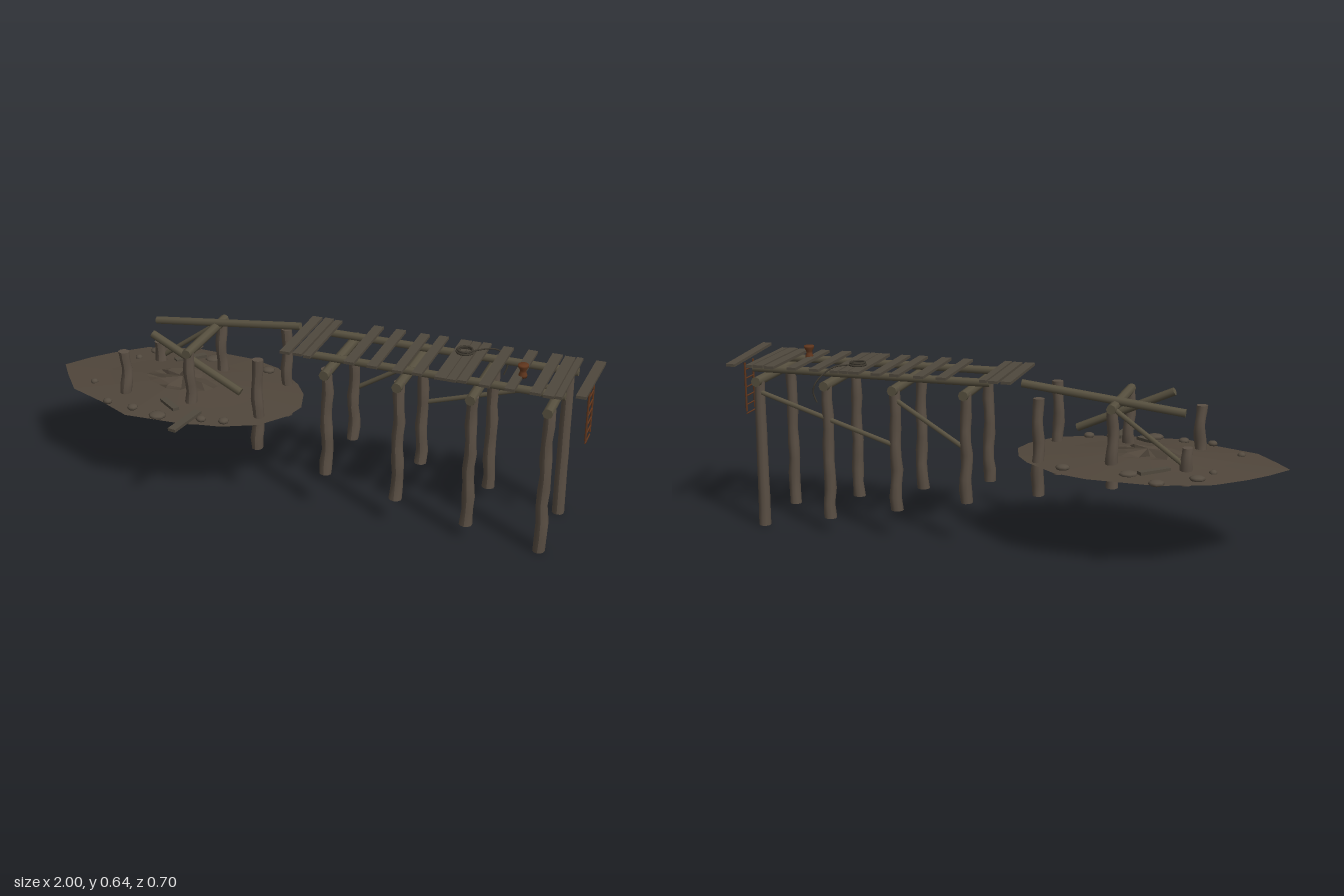
import * as THREE from 'three';

const mat = (name, color) => {
  const m = new THREE.MeshStandardMaterial({ color });
  m.name = name;
  return m;
};

export function createModel() {
  const model = new THREE.Group();
  model.name = 'ruinedPier';
  const timber = mat('timber', 0x5a4f44);
  const beamWood = mat('beamWood', 0x57503f);
  const plankWood = mat('plankWood', 0x4f483d);
  const mud = mat('mud', 0x50463b);
  mud.side = THREE.DoubleSide;
  const stone = mat('stone', 0x544b40);
  const rust = mat('rust', 0x60361d);
  const rope = mat('rope', 0x3d382f);

  const V = (x, y, z) => new THREE.Vector3(x, y, z);
  const add = (name, geo, material, x = 0, y = 0, z = 0) => {
    const m = new THREE.Mesh(geo, material);
    m.name = name;
    m.position.set(x, y, z);
    model.add(m);
    return m;
  };

  // Round timber between two points
  const log = (name, a, b, r, material = beamWood, sides = 8) => {
    const d = b.clone().sub(a);
    const mid = a.clone().add(b).multiplyScalar(0.5);
    const m = add(name, new THREE.CylinderGeometry(r, r, d.length(), sides), material, mid.x, mid.y, mid.z);
    m.quaternion.setFromUnitVectors(V(0, 1, 0), d.normalize());
    return m;
  };

  // Weathered upright post: rings are shifted and swollen by a wave rule
  const post = (x, z, y0, y1, wobble, seed) => {
    const g = new THREE.CylinderGeometry(0.019, 0.022, y1 - y0, 10, 9);
    const p = g.attributes.position;
    for (let i = 0; i < p.count; i++) {
      const y = p.getY(i);
      const a = Math.atan2(p.getZ(i), p.getX(i));
      const k = 1 + wobble * 0.1 * Math.sin(y * 47 + seed * 2.3 + Math.sin(a) * 2);
      p.setX(i, p.getX(i) * k + wobble * 0.003 * Math.sin(y * 31 + seed));
      p.setZ(i, p.getZ(i) * k + wobble * 0.003 * Math.cos(y * 37 + seed * 1.7));
    }
    g.computeVertexNormals();
    add('post', g, timber, x, (y0 + y1) / 2, z);
  };

  // Mud island: loops from the shore to a creased summit
  const shore = [
    [-1, -0.02], [-0.94, -0.11], [-0.88, -0.18], [-0.78, -0.27], [-0.6, -0.33], [-0.36, -0.32],
    [-0.24, -0.28], [-0.12, -0.18], [-0.07, -0.11], [-0.04, -0.01], [-0.06, 0.07], [-0.13, 0.17],
    [-0.25, 0.23], [-0.42, 0.26], [-0.6, 0.27], [-0.72, 0.21], [-0.87, 0.15], [-0.95, 0.05],
  ];
  const cx = -0.51, cz = -0.02, n = shore.length;
  const pts = [];
  for (let ring = 0; ring < 4; ring++) {
    shore.forEach(([x, z], i) => {
      const dx = x - cx, dz = z - cz, len = Math.hypot(dx, dz);
      const odd = i % 2;
      const r = [len, len * 0.62, len * 0.3, odd ? 0.05 : 0.085][ring];
      const y = [0.32, 0.331, 0.343, odd ? 0.335 : 0.353][ring];
      pts.push(cx + dx / len * r, y, cz + dz / len * r);
    });
  }
  pts.push(cx, 0.358, cz);
  const index = [];
  for (let r = 0; r < 3; r++) {
    for (let i = 0; i < n; i++) {
      const a = r * n + i, b = r * n + (i + 1) % n;
      index.push(a, a + n, b, b, a + n, b + n);
    }
  }
  for (let i = 0; i < n; i++) index.push(3 * n + i, 4 * n, 3 * n + (i + 1) % n);
  const land = new THREE.BufferGeometry();
  land.setAttribute('position', new THREE.Float32BufferAttribute(pts, 3));
  land.setIndex(index);
  const flatLand = land.toNonIndexed();
  flatLand.computeVertexNormals();
  add('mudIsland', flatLand, mud);

  // Stones: x, z, radius
  [[-0.72, -0.24, 0.028], [-0.6, -0.33, 0.028], [-0.49, -0.25, 0.03], [-0.26, -0.235, 0.026],
    [-0.76, -0.16, 0.014], [-0.82, 0.085, 0.013], [-0.7, 0.21, 0.018], [-0.595, 0.22, 0.02],
    [-0.485, 0.245, 0.029], [-0.33, 0.215, 0.02], [-0.25, 0.2, 0.02]].forEach(([x, z, r], i) => {
    const s = add('stone', new THREE.SphereGeometry(r, 8, 6), stone, x, 0.329, z);
    s.scale.set(1, Math.min(1, 0.011 / r), 0.9 + 0.1 * (i % 3));
    s.rotation.y = i;
  });

  // Posts, back row and front row; the deck end stands deepest
  [-0.67, -0.415, -0.155, 0.105, 0.365, 0.62, 0.88].forEach((x, i) => {
    const y0 = [0.28, 0.25, 0.2, 0.15, 0.1, 0.05, 0][i];
    const front = [0.49, 0.53, 0.545, 0.555, 0.55, 0.545, 0.54][i];
    const back = [0.41, 0.53, 0.545, 0.545, 0.55, 0.545, 0.54][i];
    post(x, 0.115, y0, front, 1, i + 1);
    post(x, -0.163, y0, back, i === 6 ? 0.15 : 0.8, i + 9);
  });

  // Cross beams on the posts
  [0.105, 0.365, 0.62, 0.88].forEach((x) => log('crossBeam', V(x, 0.542, 0.15), V(x, 0.542, -0.195), 0.018));
  log('crossBeam', V(-0.415, 0.53, 0.14), V(-0.415, 0.53, -0.195), 0.017);

  // Long joists, fallen beams and diagonal braces
  [0.072, -0.122].forEach((z) => log('joist', V(0.03, 0.577, z), V(0.92, 0.577, z), 0.0145));
  log('fallenJoist', V(-0.655, 0.517, -0.12), V(-0.085, 0.584, -0.12), 0.0145);
  log('fallenBeam', V(-0.585, 0.548, 0.057), V(-0.235, 0.388, 0.08), 0.0145);
  log('brace', V(-0.67, 0.345, -0.17), V(-0.41, 0.535, -0.17), 0.009);
  log('brace', V(0.1, 0.345, -0.17), V(0.365, 0.51, -0.17), 0.009);
  log('brace', V(0.365, 0.34, -0.17), V(0.88, 0.503, -0.17), 0.009);

  // Deck planks: x, width, tilt about x
  [[-0.045, 0.036, 0], [0, 0.033, 0], [0.037, 0.026, 0], [0.187, 0.036, 0], [0.27, 0.036, 0],
    [0.36, 0.034, 0], [0.427, 0.034, 0], [0.51, 0.04, 0], [0.548, 0.03, 0], [0.583, 0.03, 0],
    [0.66, 0.036, 0], [0.745, 0.033, 0], [0.83, 0.036, 0], [0.875, 0.036, 0], [0.908, 0.022, 0],
    [0.98, 0.034, 0.05]].forEach(([x, w, tilt], i) => {
    const m = add('deckPlank', new THREE.BoxGeometry(w, 0.01, 0.318), plankWood, x, tilt ? 0.603 : 0.596, -0.027 + 0.003 * Math.sin(i * 4));
    m.rotation.x = -tilt;
  });

  // Loose boards lying on the mud: x, z, length, width, turn
  [[-0.37, 0.262, 0.165, 0.03, -0.15], [-0.475, 0.165, 0.095, 0.025, 0.95],
    [-0.57, -0.215, 0.12, 0.025, -0.8]].forEach(([x, z, l, w, turn]) => {
    const m = add('looseBoard', new THREE.BoxGeometry(w, 0.011, l), plankWood, x, 0.336, z);
    m.rotation.y = turn;
  });

  // Hanging ladder with its lowest rung slipped off
  [0.012, -0.058].forEach((z) => log('ladderRail', V(0.985, 0.395, z), V(0.985, 0.578, z), 0.0038, rust, 6));
  [0.551, 0.518, 0.485, 0.452, 0.419, 0.386].forEach((y) =>
    log('ladderRung', V(0.985, y, 0.012), V(0.985, y, -0.058), 0.003, rust, 6));

  // Waisted mooring bollard
  const bollard = [[0, 0], [0.015, 0], [0.015, 0.008], [0.011, 0.018], [0.011, 0.026], [0.018, 0.038], [0.018, 0.046], [0, 0.046]]
    .map(([x, y]) => new THREE.Vector2(x, y));
  add('bollard', new THREE.LatheGeometry(bollard, 12), rust, 0.76, 0.594, 0.015);

  // Rope coil and its trailing end
  [0, 1].forEach((i) => {
    const c = add('ropeCoil', new THREE.TorusGeometry(0.029 - i * 0.003, 0.0038, 6, 20), rope, 0.532, 0.605 + i * 0.007, -0.085);
    c.rotation.x = Math.PI / 2;
  });
  const trail = new THREE.CatmullRomCurve3([
    V(0.558, 0.605, -0.1), V(0.6, 0.603, -0.14), V(0.625, 0.585, -0.178),
    V(0.648, 0.55, -0.206), V(0.655, 0.52, -0.204), V(0.645, 0.485, -0.198)]);
  add('trailingRope', new THREE.TubeGeometry(trail, 20, 0.003, 5), rope);

  return model;
}
